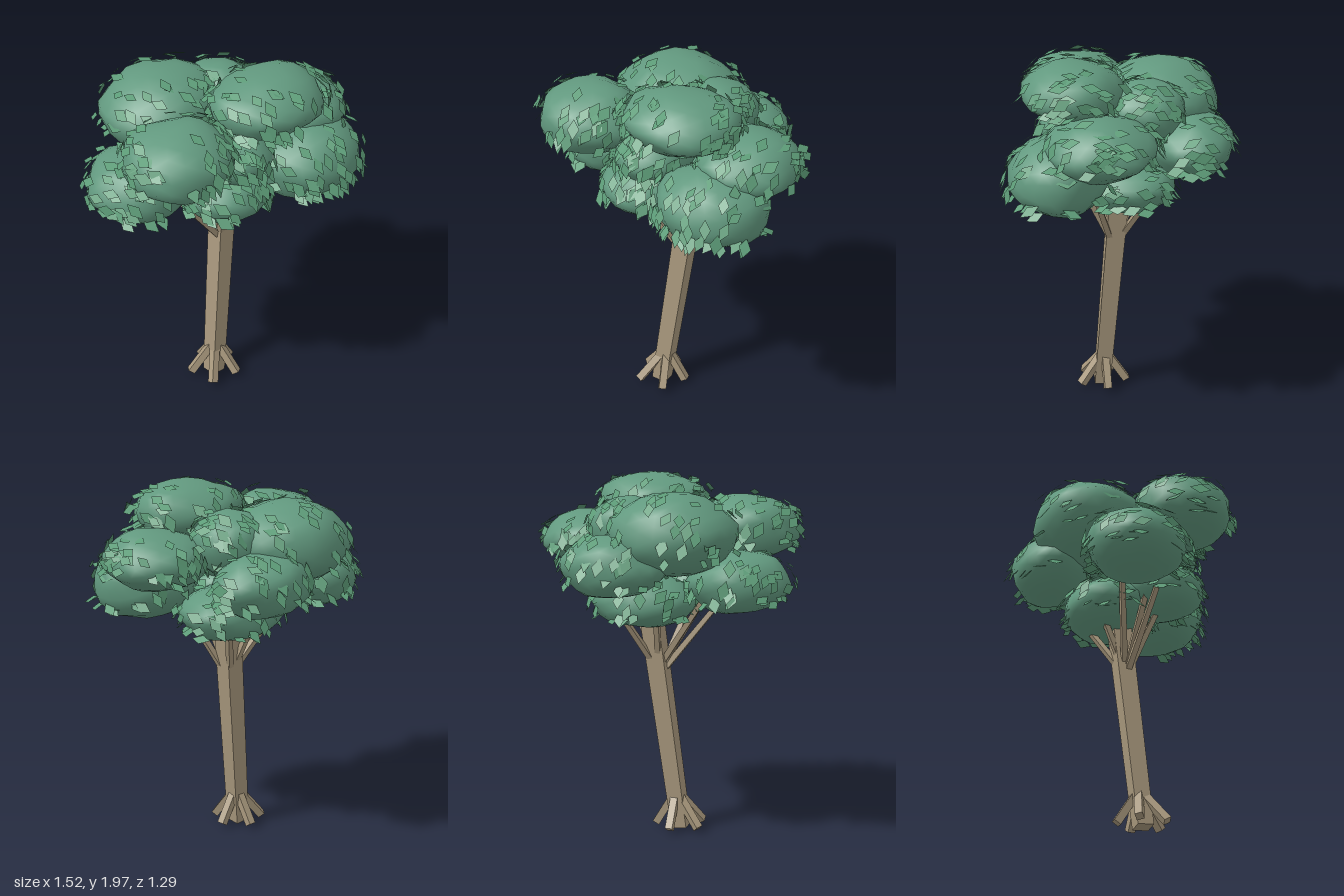
import * as THREE from 'three';
import { mergeGeometries, mergeVertices } from 'three/addons/utils/BufferGeometryUtils.js';

const V = (x, y, z) => new THREE.Vector3(x, y, z);
const UP = V(0, 1, 0);

// small seeded generator, 0..1
let seed = 7;
const rand = () => {
  seed = (seed * 16807) % 2147483647;
  return seed / 2147483647;
};
const spread = (a) => (rand() * 2 - 1) * a;

// straight square bar between two points
function limb(a, b, r0, r1) {
  const dir = b.clone().sub(a);
  const geo = new THREE.CylinderGeometry(r1, r0, dir.length(), 4);
  geo.rotateY(Math.PI / 4);
  geo.applyQuaternion(new THREE.Quaternion().setFromUnitVectors(UP, dir.normalize()));
  const mid = a.clone().add(b).multiplyScalar(0.5);
  return geo.translate(mid.x, mid.y, mid.z);
}

// lumpy ellipsoid with smooth normals
function clumpGeometry(c, r, phase) {
  let geo = new THREE.IcosahedronGeometry(1, 3);
  geo.deleteAttribute('normal');
  geo.deleteAttribute('uv');
  geo = mergeVertices(geo, 1e-4);
  const p = geo.attributes.position;
  for (let i = 0; i < p.count; i++) {
    const v = V().fromBufferAttribute(p, i);
    const k = 1 + 0.035 * Math.sin(4 * v.x + phase) * Math.cos(5 * v.z - phase)
      + 0.03 * Math.sin(6 * v.y + 3 * v.x + phase) + spread(0.02);
    v.multiplyScalar(k).multiply(r).add(c);
    p.setXYZ(i, v.x, v.y, v.z);
  }
  geo.computeVertexNormals();
  return geo;
}

// flat diamond leaf lying in the xz plane
function diamond(w, l) {
  const geo = new THREE.BufferGeometry();
  geo.setAttribute('position', new THREE.Float32BufferAttribute(
    [0, 0, -l, -w, 0, 0, 0, 0, l, w, 0, 0], 3));
  geo.setIndex([0, 1, 2, 0, 2, 3]);
  geo.computeVertexNormals();
  return geo;
}

// foliage clumps: centre, radii
const clumps = [
  [V(-0.44, 1.7, 0.16), V(0.28, 0.18, 0.27)],
  [V(0.11, 1.83, 0.22), V(0.31, 0.15, 0.26)],
  [V(-0.16, 1.69, -0.27), V(0.34, 0.22, 0.31)],
  [V(0.12, 1.53, -0.4), V(0.28, 0.17, 0.22)],
  [V(0.43, 1.62, 0.1), V(0.27, 0.16, 0.28)],
  [V(0.33, 1.45, 0.31), V(0.3, 0.2, 0.26)],
  [V(0.06, 1.31, -0.08), V(0.29, 0.15, 0.25)],
  [V(-0.47, 1.44, -0.11), V(0.27, 0.17, 0.27)],
  [V(-0.08, 1.57, 0.15), V(0.2, 0.14, 0.23)],
  [V(-0.13, 1.37, 0.17), V(0.23, 0.14, 0.22)],
  [V(0.14, 1.71, -0.16), V(0.19, 0.17, 0.2)],
];

// leaves hovering around the outer surface of the foliage
function leafGeometry() {
  const inside = (p, skip) => clumps.some(([c, r], i) =>
    i !== skip && p.clone().sub(c).divide(r).length() < 1);
  const leaves = [];
  clumps.forEach(([c, r], index) => {
    for (let i = 0; i < 85; i++) {
      const a = rand() * Math.PI * 2;
      const y = -0.6 + rand() * 1.5;
      const s = Math.sqrt(1 - y * y);
      const d = V(Math.cos(a) * s, y, Math.sin(a) * s);
      const pos = d.clone().multiply(r).multiplyScalar(1.01 + rand() * 0.13).add(c);
      if (inside(pos, index) || pos.y > 1.97) continue;
      // leaves lean outward with their upper face turned a little to the sky
      const n = d.clone().divide(r).normalize();
      n.y = Math.abs(n.y) + 0.2;
      const size = 0.85 + rand() * 0.3;
      const geo = diamond(0.029 * size, 0.05 * size);
      geo.rotateY(spread(0.35)).rotateX(spread(0.25)).rotateZ(spread(0.25));
      geo.applyQuaternion(new THREE.Quaternion().setFromUnitVectors(UP, n.normalize()));
      leaves.push(geo.translate(pos.x, pos.y, pos.z));
    }
  });
  return mergeGeometries(leaves);
}

export function createModel() {
  const tree = new THREE.Group();
  tree.name = 'tree';
  const bark = new THREE.MeshStandardMaterial({ color: 0xa8987d, flatShading: true });
  const foliage = new THREE.MeshStandardMaterial({ color: 0x62997f });
  const leaf = new THREE.MeshStandardMaterial({ color: 0x5d9c78, side: THREE.DoubleSide });
  const add = (parent, name, geo, mat) => {
    const mesh = new THREE.Mesh(geo, mat);
    mesh.name = name;
    parent.add(mesh);
  };
  const group = (name) => {
    const g = new THREE.Group();
    g.name = name;
    tree.add(g);
    return g;
  };

  // leaning square trunk
  const trunkAt = (y) => V(-0.105 + 0.12 * y, y, 0.055 - 0.068 * y);
  add(tree, 'trunk', limb(trunkAt(0.015), trunkAt(1.25), 0.062, 0.075), bark);

  // five splayed root bars
  const roots = group('roots');
  for (let i = 0; i < 5; i++) {
    const a = Math.PI * (0.75 + 0.4 * i);
    const out = V(Math.cos(a), 0, Math.sin(a));
    const from = trunkAt(0.2).addScaledVector(out, 0.015);
    const to = trunkAt(0.03).addScaledVector(out, 0.138);
    add(roots, 'root', limb(from, to, 0.029, 0.029), bark);
  }

  // branches reaching into the foliage
  const branches = group('branches');
  const tips = [
    V(-0.32, 1.3, 0.06), V(-0.33, 1.48, 0.05), V(-0.3, 1.36, -0.13), V(0.23, 1.34, 0.13),
    V(0.2, 1.32, -0.22), V(-0.04, 1.35, -0.2), V(-0.14, 1.32, 0.16), V(0.06, 1.34, 0.2),
  ];
  tips.forEach((tip, i) => {
    add(branches, 'branch', limb(trunkAt(0.89 + 0.02 * (i % 3)), tip, 0.023, 0.018), bark);
  });

  // crown
  const crown = group('crown');
  clumps.forEach(([c, r], i) => add(crown, 'foliageClump', clumpGeometry(c, r, i * 1.7), foliage));
  add(crown, 'leaves', leafGeometry(), leaf);

  return tree;
}
